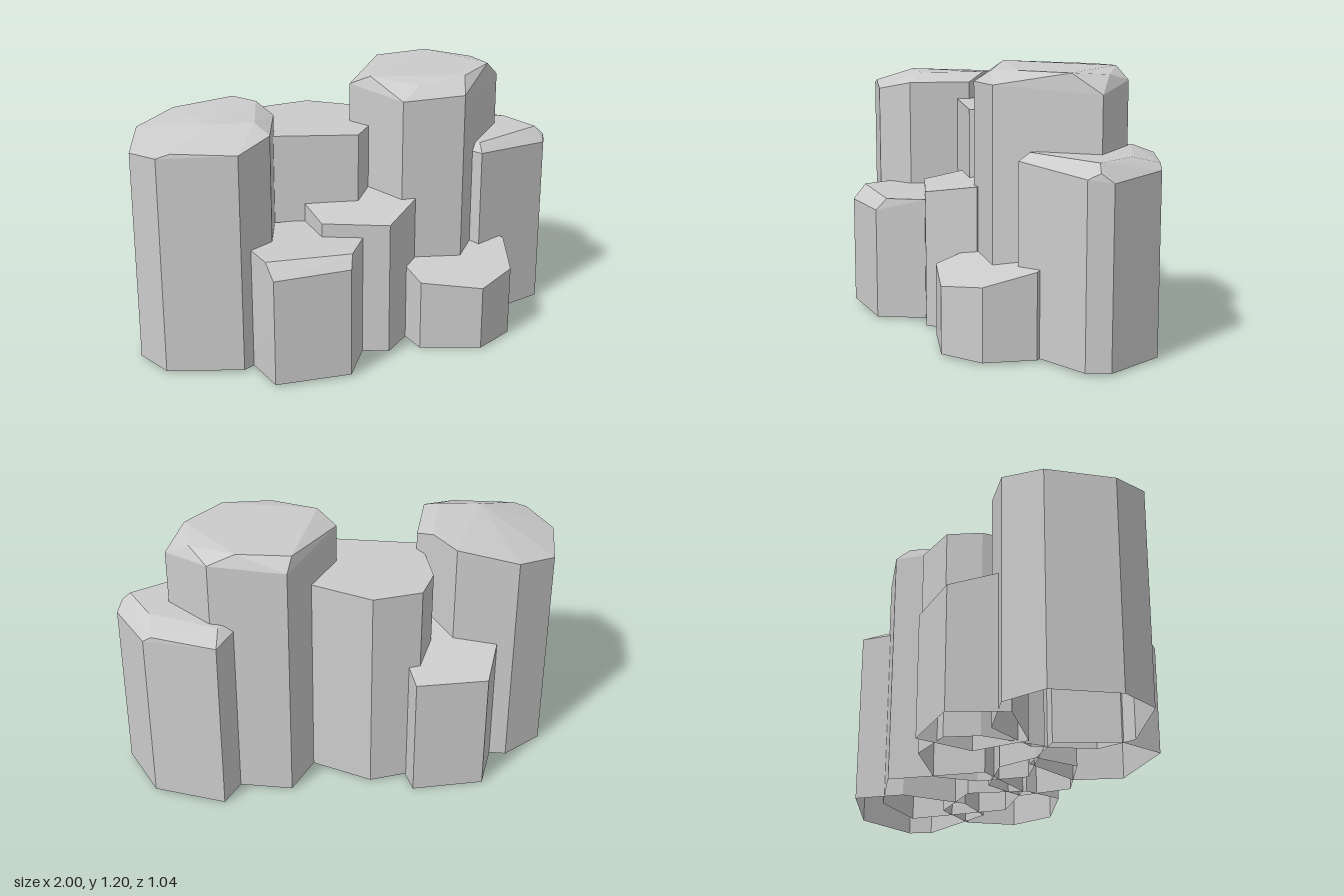
import * as THREE from 'three';
import { ConvexGeometry } from 'three/addons/geometries/ConvexGeometry.js';

// Each column: corners [x, z, top height] around its outline, plus optional
// crown points [x, z, height] that form the bevelled top.
const COLUMNS = {
  leftTallColumn: {
    corners: [[-1, .04, .975], [-.91, -.25, .99], [-.72, -.35, 1.03], [-.46, -.27, 1.08],
      [-.34, -.03, 1.05], [-.435, .235, 1.05], [-.6, .325, 1.01], [-.925, .22, 1]],
    crown: [[-.865, .235, 1.02], [-.67, .12, 1.09], [-.48, .16, 1.09], [-.39, -.13, 1.09]],
  },
  rightTallColumn: {
    corners: [[.03, -.07, 1.145], [.3, -.42, 1.13], [.62, -.32, 1.145], [.775, -.105, 1.11],
      [.46, .24, 1.135], [.185, .195, 1.12]],
    crown: [[.1, .01, 1.195], [.28, .16, 1.175], [.5, .14, 1.195], [.68, -.01, 1.195],
      [.68, -.19, 1.18], [.5, -.33, 1.195], [.27, -.36, 1.18]],
  },
  farRightColumn: {
    corners: [[.61, -.46, .825], [.905, -.31, .805], [1, -.03, .79], [.95, .065, .805],
      [.58, .18, .83], [.46, .03, .84], [.47, -.28, .84]],
    crown: [[.59, .13, .865], [.935, 0, .865], [.97, .015, .83], [.865, -.19, .865],
      [.87, -.325, .83], [.59, -.36, .865]],
  },
  middleColumn: {
    corners: [[-.37, .02, .97], [0, .13, .97], [.15, -.05, .97], [.18, -.25, .97],
      [-.06, -.425, .97], [-.28, -.405, .97], [-.36, -.27, .97]],
  },
  frontMiddleColumn: {
    corners: [[-.23, .05, .65], [-.215, .26, .627], [.06, .375, .625], [.245, .21, .665],
      [.18, .02, .685], [-.06, -.04, .675]],
  },
  frontLeftColumn: {
    corners: [[-.55, .29, .565], [-.51, .5, .5], [-.17, .52, .512], [-.05, .33, .565],
      [-.15, .06, .565], [-.42, .03, .565]],
    crown: [[-.525, .435, .565], [-.15, .475, .565]],
  },
  frontRightColumn: {
    corners: [[.175, .21, .375], [.205, .39, .333], [.465, .483, .306], [.65, .38, .332],
      [.715, .16, .387], [.6, -.02, .43], [.32, -.02, .43]],
  },
  backLeftColumn: {
    base: 0,
    corners: [[-.56, -.52, .56], [-.24, -.51, .565], [-.21, -.24, .65], [-.42, -.08, .69],
      [-.67, -.28, .63]],
  },
};

// Hull of the outline and crown, with the underside left open
function columnGeometry({ corners, crown = [], base = 0.01 }) {
  const points = [...corners, ...crown].map(([x, z, h]) => new THREE.Vector3(x, h, z));
  for (const [x, z] of corners) points.push(new THREE.Vector3(x, base, z));
  const p = new ConvexGeometry(points).getAttribute('position').array;
  const kept = [];
  for (let i = 0; i < p.length; i += 9) {
    if (Math.max(p[i + 1], p[i + 4], p[i + 7]) > base + 0.001) kept.push(...p.slice(i, i + 9));
  }
  const geometry = new THREE.BufferGeometry();
  geometry.setAttribute('position', new THREE.Float32BufferAttribute(kept, 3));
  geometry.computeVertexNormals();
  return geometry;
}

export function createModel() {
  const group = new THREE.Group();
  group.name = 'rockColumns';
  const stone = new THREE.MeshStandardMaterial({
    color: 0xcccccc, flatShading: true, side: THREE.DoubleSide,
  });
  for (const [name, column] of Object.entries(COLUMNS)) {
    const mesh = new THREE.Mesh(columnGeometry(column), stone);
    mesh.name = name;
    group.add(mesh);
  }
  return group;
}
